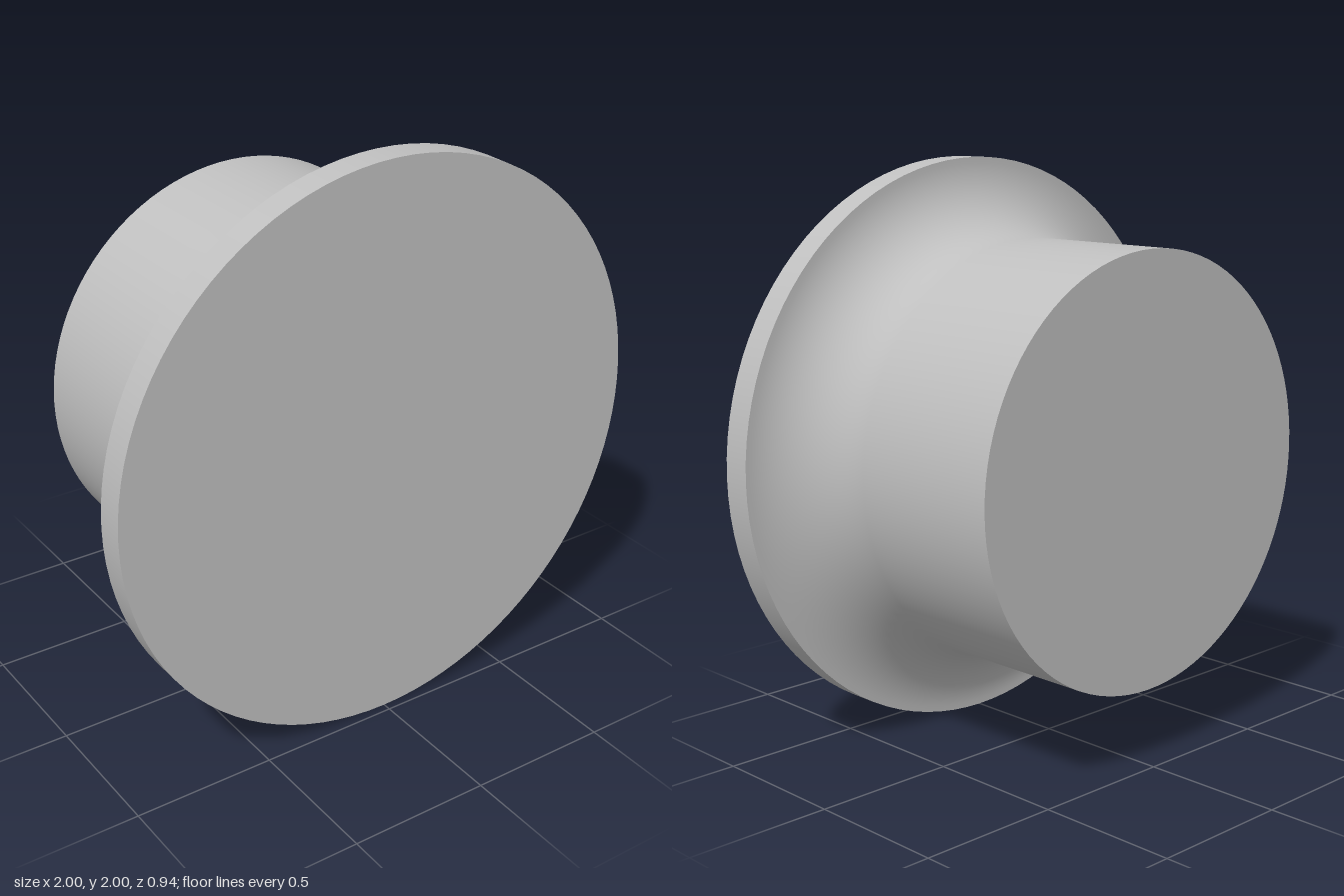
import * as THREE from 'three';

const SEGMENTS = 96;
const FLANGE_R = 1, STEM_R = 0.735;
const FRONT = 0.47, FLANGE_BACK = 0.365, BACK = -0.47;

export function createModel() {
  const model = new THREE.Group();
  model.name = 'flangedKnob';
  const grey = new THREE.MeshStandardMaterial({ color: 0xbfbfbf });
  grey.name = 'plain grey';

  const add = (name, geometry, z = 0) => {
    const mesh = new THREE.Mesh(geometry, grey);
    mesh.name = name;
    mesh.position.set(0, 1, z);
    model.add(mesh);
  };
  // Revolves [radius, z] points around the z axis
  const revolve = (points) =>
    new THREE.LatheGeometry(points.map(([r, z]) => new THREE.Vector2(r, z)), SEGMENTS).rotateX(Math.PI / 2);

  // Straight stem flowing into the flange through a quarter-round fillet
  const fillet = FLANGE_R - STEM_R;
  const profile = [[STEM_R, BACK], [STEM_R, -0.1]];
  for (let i = 0; i <= 20; i++) {
    const t = (i / 20) * Math.PI / 2;
    profile.push([FLANGE_R - fillet * Math.cos(t), FLANGE_BACK - fillet + fillet * Math.sin(t)]);
  }
  add('stemAndFillet', revolve(profile));

  // Flange edge
  add('flangeRim', revolve([[FLANGE_R, FLANGE_BACK], [FLANGE_R, FRONT]]));

  // Flat end faces
  add('frontFace', new THREE.CircleGeometry(FLANGE_R, SEGMENTS), FRONT);
  add('backFace', new THREE.CircleGeometry(STEM_R, SEGMENTS).rotateY(Math.PI), BACK);

  return model;
}
